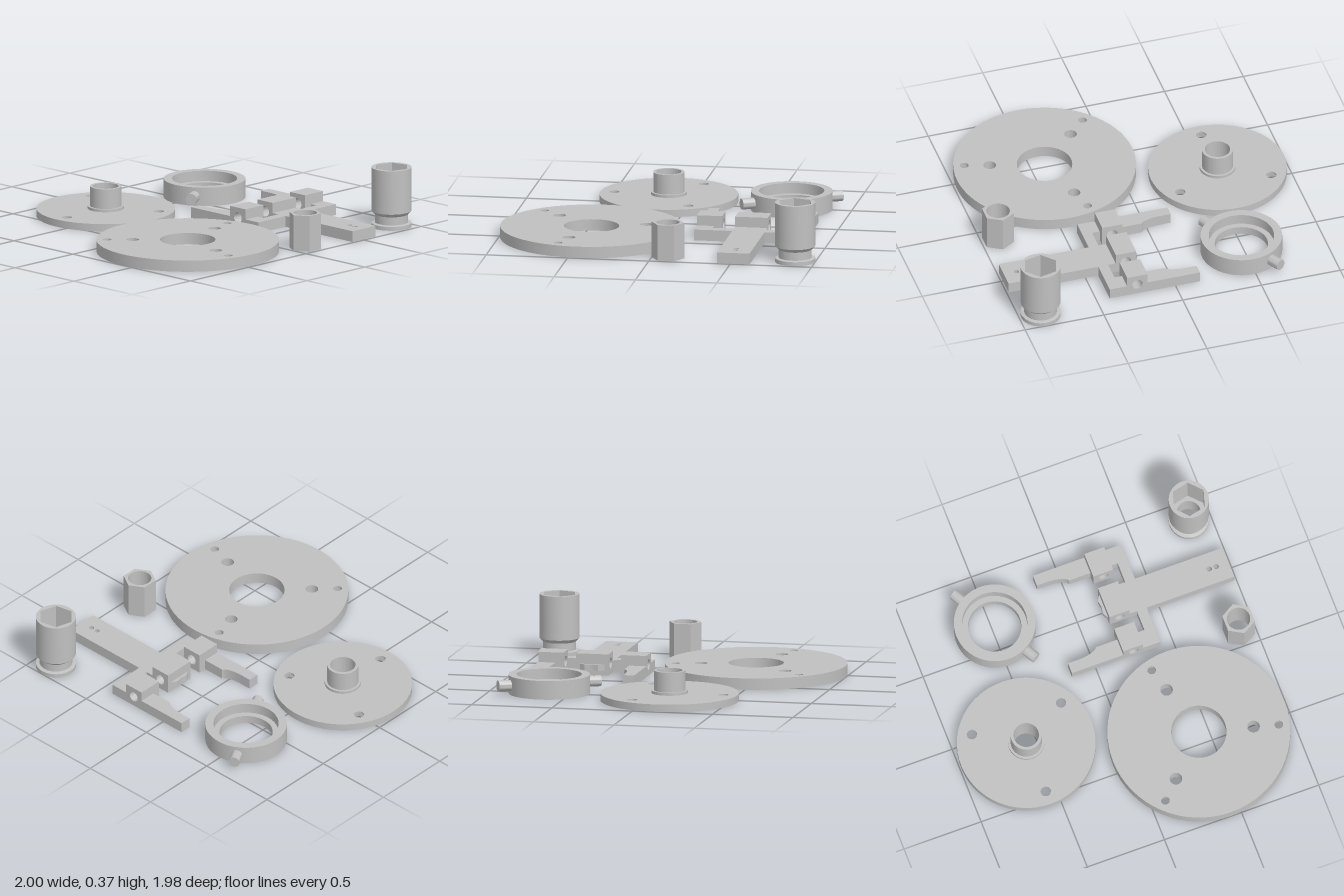
import * as THREE from 'three';
import { toCreasedNormals } from 'three/addons/utils/BufferGeometryUtils.js';

export function createModel() {
  const root = new THREE.Group();
  const grey = new THREE.MeshStandardMaterial({ color: 0xc0c0c0 });
  grey.name = 'light grey';

  const add = (name, geo, parent = root) => {
    const g = geo.index ? geo.toNonIndexed() : geo;
    const mesh = new THREE.Mesh(toCreasedNormals(g, 0.5), grey);
    mesh.name = name;
    parent.add(mesh);
    return mesh;
  };
  const group = (name) => {
    const g = new THREE.Group();
    g.name = name;
    root.add(g);
    return g;
  };

  // Outlines in (x, z)
  const circle = (x, z, r, C = THREE.Path) => new C().absarc(x, z, r, 0, Math.PI * 2, false);
  const hexagon = (x, z, r, turn = 0, C = THREE.Path) => new C(
    Array.from({ length: 6 }, (_, i) => {
      const a = turn + i * Math.PI / 3;
      return new THREE.Vector2(x + r * Math.cos(a), z + r * Math.sin(a));
    })).closePath();
  const polygon = (pts) => new THREE.Shape(pts.map(([x, z]) => new THREE.Vector2(x, z)));
  const rect = (x0, x1, z0, z1) => polygon([[x0, z0], [x1, z0], [x1, z1], [x0, z1]]);

  // Upright slab of an (x, z) outline between two heights
  const slab = (shape, holes, y0, y1) => {
    shape.holes = holes;
    return new THREE.ExtrudeGeometry(shape, { depth: y1 - y0, bevelEnabled: false, curveSegments: 32 })
      .rotateX(Math.PI / 2).translate(0, y1, 0);
  };
  const lathe = (pts, x, z) => new THREE.LatheGeometry(
    pts.map(([r, y]) => new THREE.Vector2(r, y)), 64).translate(x, 0, z);

  // Disc with round holes above and hexagonal nut pockets below
  const disc = (parent, c, r, h, pocket, centreR, traps, plain, trapR, hexR) => {
    const common = () => [circle(c[0], c[1], centreR), ...plain.map(([x, z]) => circle(x, z, 0.038))];
    add('discLower', slab(circle(...c, r, THREE.Shape),
      [...common(), ...traps.map(([x, z]) => hexagon(x, z, hexR, Math.atan2(z - c[1], x - c[0])))], 0, pocket), parent);
    add('discUpper', slab(circle(...c, r, THREE.Shape),
      [...common(), ...traps.map(([x, z]) => circle(x, z, trapR))], pocket, h), parent);
  };

  // Large base disc
  disc(group('largeDisc'), [-0.445, 0.432], 0.555, 0.07, 0.045, 0.168,
    [[-0.79, 0.085], [0.027, 0.304], [-0.573, 0.902]],
    [[-0.68, 0.195], [-0.123, 0.344], [-0.531, 0.754]], 0.026, 0.047);

  // Smaller disc with a hollow boss on a low collar
  const hub = group('hubDisc');
  disc(hub, [-0.135, -0.57], 0.421, 0.045, 0.032, 0.077,
    [[-0.47, -0.57], [0.032, -0.86], [0.032, -0.282]], [], 0.031, 0.05);
  add('hubBoss', lathe([[0.077, 0.045], [0.11, 0.045], [0.11, 0.062], [0.095, 0.062],
    [0.095, 0.184], [0.077, 0.184], [0.077, 0.045]], -0.135, -0.57), hub);

  // Stepped ring with two trunnion pins
  const ring = group('trunnionRing');
  add('ring', lathe([[0.162, 0], [0.248, 0], [0.248, 0.115], [0.198, 0.115],
    [0.198, 0.05], [0.162, 0.05], [0.162, 0]], 0.634, -0.485), ring);
  for (const s of [1, -1]) {
    const pin = add('trunnionPin', new THREE.CylinderGeometry(0.034, 0.034, 0.09, 28)
      .rotateZ(Math.PI / 2).translate(s * 0.28, 0, 0), ring);
    pin.position.set(0.634, 0.058, -0.485);
    pin.rotation.y = Math.PI / 6;
  }

  // Hinged fork: handle, crossbar, two arms and three pierced hinge blocks
  const fork = group('hingeFork');
  const mid = 0.517, thick = 0.067, back = 0.178, front = 0.307;
  const hinge = (name, x0, x1) => {
    const s = rect(-front, -back, 0, 0.13);
    s.holes = [circle(-0.243, 0.067, 0.033)];
    add(name, new THREE.ExtrudeGeometry(s, { depth: x1 - x0, bevelEnabled: false, curveSegments: 24 })
      .rotateY(Math.PI / 2).translate(x0, 0, 0), fork);
  };
  hinge('rightHingeBlock', mid - 0.336, mid - 0.18);
  hinge('centreHingeBlock', mid - 0.1, mid + 0.1);
  hinge('leftHingeBlock', mid + 0.18, mid + 0.336);

  for (const [side, s] of [['left', 1], ['right', -1]]) {
    const X = (d) => mid + s * d;
    const arm = new THREE.Shape();
    arm.moveTo(X(0.336), -0.155);
    arm.lineTo(X(0.336), back);
    arm.lineTo(X(0.23), back);
    arm.lineTo(X(0.23), 0.04);
    arm.bezierCurveTo(X(0.252), 0.03, X(0.268), -0.03, X(0.268), -0.085);
    arm.lineTo(X(0.268), -0.155);
    add(side + 'Arm', slab(arm, [], 0, thick), fork);
    add(side + 'ArmFoot', slab(rect(mid + s * 0.283 - 0.053, mid + s * 0.283 + 0.053, front, 0.355),
      [], 0, thick), fork);
  }
  add('crossbar', slab(rect(mid - 0.336, mid + 0.336, 0.355, 0.418), [], 0, thick), fork);
  add('handleNeck', slab(rect(mid - 0.1, mid + 0.1, front, 0.355), [], 0, thick), fork);
  add('handle', slab(rect(mid - 0.1, mid + 0.1, 0.418, 0.987),
    [circle(mid, 0.862, 0.016), circle(mid, 0.907, 0.016)], 0, thick), fork);
  // Low rounded catch on the back of the centre hinge
  add('hingeCatch', slab(polygon([[0.442, back], [0.457, 0.167], [0.477, 0.156], [0.497, 0.16],
    [mid, 0.163], [0.537, 0.16], [0.56, 0.156], [0.58, 0.167], [0.595, back]]), [], 0.03, thick), fork);

  // Hexagonal sleeve
  add('hexSleeve', slab(hexagon(0.101, 0.895, 0.1, 0, THREE.Shape), [circle(0.101, 0.895, 0.071)], 0, 0.222));

  // Grooved socket with a hexagonal recess
  const socket = group('socket');
  const sx = 0.878, sz = 0.865;
  add('socketBase', lathe([[0.073, 0], [0.122, 0], [0.122, 0.024], [0.1, 0.028], [0.1, 0.078],
    [0.122, 0.1], [0.122, 0.14], [0.073, 0.14], [0.073, 0]], sx, sz), socket);
  add('socketBody', slab(circle(sx, sz, 0.122, THREE.Shape), [hexagon(sx, sz, 0.108, 0.3)], 0.14, 0.37), socket);

  return root;
}
